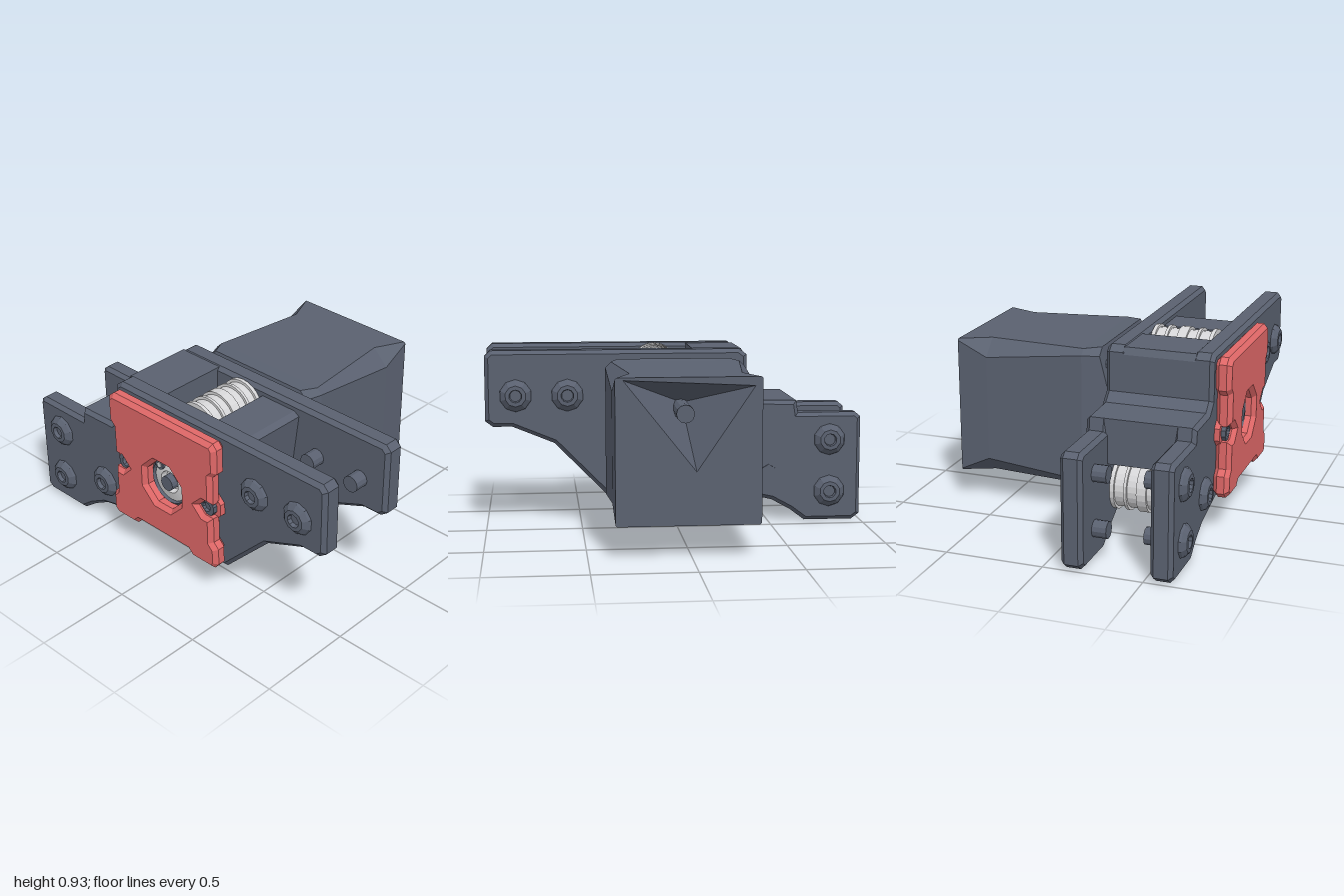
import * as THREE from 'three';

const mat = (name, color) => {
  const m = new THREE.MeshStandardMaterial({ color, flatShading: true });
  m.name = name;
  return m;
};

const AXIS = [0.02, 0.52]; // motor shaft centre (x, y)

export function createModel() {
  const root = new THREE.Group();
  root.name = 'beltDrive';
  const slate = mat('slate', 0x5a6170);
  const red = mat('coverRed', 0xe06868);
  const steel = mat('steel', 0xd6d6d8);

  const add = (name, geo, material) => {
    const m = new THREE.Mesh(geo, material);
    m.name = name;
    root.add(m);
    return m;
  };
  const vecs = (pts) => pts.map(([x, y]) => new THREE.Vector2(x, y));
  const circle = ([x, y], r, n = 16) =>
    Array.from({ length: n }, (_, i) => {
      const a = ((i + 0.5) / n) * Math.PI * 2;
      return [x + r * Math.cos(a), y + r * Math.sin(a)];
    });

  // Outline in x-y pushed from z0 to z1, with chamfered rims
  const slab = (name, pts, z0, z1, material, bevel = 0, holes = []) => {
    const shape = new THREE.Shape(vecs(pts));
    holes.forEach((h) => shape.holes.push(new THREE.Path(vecs(h))));
    const geo = new THREE.ExtrudeGeometry(shape, {
      depth: z1 - z0 - 2 * bevel, bevelEnabled: bevel > 0, bevelSegments: 1,
      bevelSize: bevel, bevelThickness: bevel, bevelOffset: -bevel,
    });
    geo.translate(0, 0, z0 + bevel);
    return add(name, geo, material);
  };
  // Cylinder along z
  const rod = (name, [x, y], z0, z1, r, material, sides = 16) => {
    const geo = new THREE.CylinderGeometry(r, r, z1 - z0, sides);
    geo.rotateX(Math.PI / 2);
    geo.translate(x, y, (z0 + z1) / 2);
    return add(name, geo, material);
  };
  // Turned part along z, profile is [radius, z]
  const turned = (name, [x, y], profile, material, sides = 24) => {
    const geo = new THREE.LatheGeometry(vecs(profile), sides);
    geo.rotateX(Math.PI / 2);
    geo.translate(x, y, 0);
    return add(name, geo, material);
  };
  // Skin over counter-clockwise rings listed front to back (back to front faces inward)
  const loft = (name, rings, material) => {
    const pos = [];
    for (let i = 0; i + 1 < rings.length; i++) {
      const n = rings[i].length;
      for (let j = 0; j < n; j++) {
        const k = (j + 1) % n;
        const [a, b, c, d] = [rings[i][j], rings[i][k], rings[i + 1][k], rings[i + 1][j]];
        pos.push(...a, ...d, ...b, ...b, ...d, ...c);
      }
    }
    const geo = new THREE.BufferGeometry();
    geo.setAttribute('position', new THREE.Float32BufferAttribute(pos, 3));
    geo.computeVertexNormals();
    return add(name, geo, material);
  };

  // Two side plates
  const outline = [
    [-1, 0.03], [-0.96, 0.0], [-0.7, 0.0], [-0.62, 0.06], [-0.52, 0.115], [-0.3, 0.165],
    [0.37, 0.165], [0.64, 0.44], [0.86, 0.53], [0.96, 0.53], [1, 0.56], [1, 0.9], [0.97, 0.93],
    [-0.34, 0.93], [-0.38, 0.9], [-0.38, 0.7], [-0.43, 0.655], [-0.65, 0.65], [-0.66, 0.585],
    [-0.97, 0.585], [-1, 0.56],
  ];
  slab('frontPlate', outline, 0.53, 0.64, slate, 0.02, [circle(AXIS, 0.15)]);
  slab('backPlate', outline, 0.09, 0.2, slate, 0.02, [circle(AXIS, 0.15)]);

  // Housing walls between the plates, leaving a window above the pulleys
  const wall = (name, pts) => slab(name, pts, 0.18, 0.55, slate);
  wall('leftHousing', [
    [-0.65, 0.42], [-0.4, 0.42], [-0.3, 0.5], [-0.12, 0.68], [-0.04, 0.68], [-0.05, 0.72],
    [-0.1, 0.76], [-0.1, 0.925], [-0.36, 0.925], [-0.38, 0.89], [-0.38, 0.7], [-0.43, 0.655],
    [-0.65, 0.65],
  ]);
  wall('rightHousing', [[0.21, 0.6], [0.41, 0.56], [0.45, 0.87], [0.42, 0.89], [0.21, 0.89]]);
  wall('lowerHousing', [[0.06, 0.17], [0.36, 0.17], [0.42, 0.25], [0.3, 0.35], [0.06, 0.33]]);

  // Cap screws: domed head outside, shank inside
  const headProfile = [
    [0.086, 0], [0.08, 0.014], [0.055, 0.035], [0.034, 0.036], [0.03, 0.015], [0, 0.015],
  ];
  const screw = (x, y, front) => {
    const g = new THREE.Group();
    g.name = front ? 'frontScrew' : 'backScrew';
    const head = new THREE.Mesh(new THREE.LatheGeometry(vecs(headProfile), 10), slate);
    head.name = 'screwHead';
    const shank = new THREE.Mesh(new THREE.CylinderGeometry(0.043, 0.043, 0.18, 12), slate);
    shank.name = 'screwShank';
    shank.position.y = -0.09;
    g.add(head, shank);
    g.position.set(x, y, front ? 0.638 : 0.092);
    g.rotation.x = front ? Math.PI / 2 : -Math.PI / 2;
    root.add(g);
  };
  for (const [x, y] of [[-0.83, 0.44], [-0.83, 0.16], [0.57, 0.695], [0.84, 0.695]]) {
    screw(x, y, true);
    screw(x, y, false);
  }
  screw(-0.5, 0.27, true);
  rod('lockNut', [-0.5, 0.27], 0.082, 0.12, 0.04, slate, 6);

  // Red cover with side notches and an octagonal opening
  slab('cover', [
    [-0.32, 0.19], [-0.19, 0.19], [-0.16, 0.22], [0.19, 0.22], [0.22, 0.19], [0.36, 0.19],
    [0.385, 0.22], [0.385, 0.31], [0.355, 0.34], [0.355, 0.48], [0.3, 0.48], [0.26, 0.52],
    [0.3, 0.56], [0.355, 0.56], [0.355, 0.72], [0.385, 0.75], [0.385, 0.88], [0.36, 0.91],
    [-0.32, 0.91], [-0.355, 0.88], [-0.355, 0.75], [-0.325, 0.72], [-0.325, 0.56], [-0.27, 0.56],
    [-0.23, 0.52], [-0.27, 0.48], [-0.325, 0.48], [-0.325, 0.34], [-0.355, 0.31], [-0.355, 0.22],
  ], 0.638, 0.72, red, 0.022, [circle(AXIS, 0.13, 8)]);
  for (const x of [-0.27, 0.3]) {
    slab('coverLug', circle([x, 0.52], 0.08, 8), 0.638, 0.668, red);
    turned('coverScrew', [x, 0.52],
      [[0.052, 0.66], [0.05, 0.69], [0.026, 0.69], [0.022, 0.675], [0, 0.675]], slate, 10);
  }

  // Front bearing and shaft
  turned('bearingSeat', AXIS, [[0.155, 0.54], [0.155, 0.635], [0.115, 0.67], [0.105, 0.6], [0, 0.6]], slate);
  turned('bearing', AXIS, [[0.108, 0.59], [0.108, 0.655], [0.06, 0.665], [0.055, 0.63], [0, 0.63]], steel);
  rod('shaft', AXIS, 0.0, 0.685, 0.04, slate, 12);
  for (const s of [-1, 1]) {
    const ear = [AXIS[0] + s * 0.06, 0.6];
    rod('clipEar', ear, 0.62, 0.674, 0.028, slate, 10);
    rod('clipEye', ear, 0.66, 0.678, 0.015, steel, 10);
  }

  // Drive pulley: smooth hub and toothed drum
  turned('pulleyHub', AXIS, [[0, 0.34], [0.14, 0.34], [0.14, 0.465], [0.13, 0.475], [0, 0.475]], steel);
  const teeth = [];
  for (let i = 0; i < 20; i++) {
    for (const [k, r] of [[0, 0.115], [0.25, 0.135], [0.6, 0.135], [0.8, 0.115]]) {
      const a = ((i + k) / 20) * Math.PI * 2;
      teeth.push([AXIS[0] + r * Math.cos(a), AXIS[1] + r * Math.sin(a)]);
    }
  }
  slab('toothedDrum', teeth, 0.21, 0.34, steel);
  rod('drumFlange', AXIS, 0.197, 0.212, 0.14, steel, 24);
  const grub = add('grubScrew', new THREE.CylinderGeometry(0.03, 0.03, 0.02, 6), slate);
  grub.rotation.z = Math.PI / 2;
  grub.position.set(AXIS[0] + 0.136, 0.53, 0.41);

  // Flanged idlers: one under the top window, one on the lower left screw
  const idlerProfile = [[0, 0.2]];
  for (const [z, w] of [[0.2, 0.02], [0.27, 0.015], [0.335, 0.05], [0.435, 0.015], [0.505, 0.02]]) {
    idlerProfile.push([0.112, z], [0.126, z], [0.126, z + w], [0.112, z + w]);
  }
  idlerProfile.push([0, 0.525]);
  for (const c of [[0.08, 0.805], [-0.5, 0.27]]) {
    turned('idler', c, idlerProfile, steel);
    rod('idlerAxle', c, 0.15, 0.58, 0.04, slate, 12);
  }

  // Motor: blunt nose, square can with chamfered edges, triangular pocket at the back
  const ring = (z, x0, x1, y0, y1, c) => [
    [x1, y0 + c], [x1, y1 - c], [x1 - c, y1], [x0 + c, y1],
    [x0, y1 - c], [x0, y0 + c], [x0 + c, y0], [x1 - c, y0],
  ].map(([x, y]) => [x, y, z]);
  const rear = ring(-0.73, -0.335, 0.368, 0.16, 0.873, 0.008);
  loft('motorBody', [
    Array(8).fill([...AXIS, 0.08]),
    ring(0.078, -0.27, 0.3, 0.32, 0.65, 0.05),
    ring(0.035, -0.315, 0.35, 0.2, 0.888, 0.04),
    ring(-0.05, -0.347, 0.378, 0.162, 0.882, 0.03),
    ring(-0.57, -0.342, 0.374, 0.16, 0.876, 0.085),
    rear,
  ], slate);
  const pocket = [[0.33, 0.86], [-0.3, 0.83], [-0.02, 0.42]];
  const flip = (pts) => vecs(pts.map(([x, y]) => [-x, y]));
  const rearShape = new THREE.Shape(flip(rear));
  rearShape.holes.push(new THREE.Path(flip(pocket)));
  add('motorRear', new THREE.ShapeGeometry(rearShape).rotateY(Math.PI).translate(0, 0, -0.73), slate);
  loft('motorPocket', [pocket.map((p) => [...p, -0.73]), Array(3).fill([0.01, 0.7, -0.3])], slate);
  rod('motorTailShaft', [0.02, 0.68], -0.6, -0.3, 0.045, slate, 12);
  for (const x of [-0.24, 0.28]) {
    for (const y of [0.26, 0.79]) rod('motorMountScrew', [x, y], 0.0, 0.1, 0.028, slate, 10);
  }
  return root;
}
